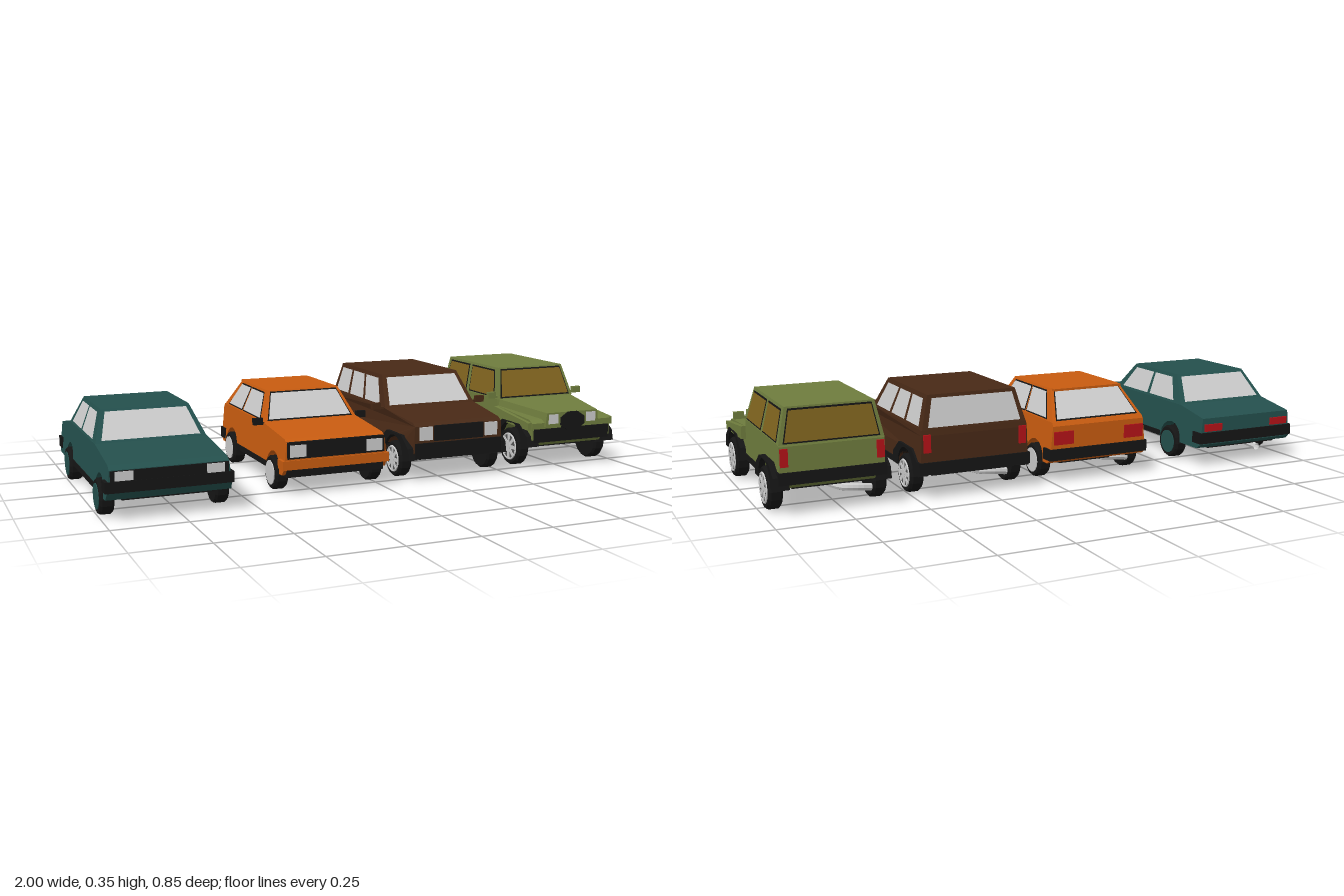
import * as THREE from 'three';

const BLACK = 0x151515, GREY = 0xcccccc, RED = 0xb51218;
const mats = {};
const mat = (c) => (mats[c] ??= new THREE.MeshStandardMaterial({ color: c, flatShading: true, side: THREE.DoubleSide }));

function add(group, name, geo, color) {
  const m = new THREE.Mesh(geo, mat(color));
  m.name = name;
  group.add(m);
}
function box(group, name, color, w, h, d, x, y, z) {
  add(group, name, new THREE.BoxGeometry(w, h, d).translate(x, y, z), color);
}
function pair(group, name, color, w, h, d, x, y, z) {
  for (const s of [1, -1]) box(group, (s > 0 ? 'left ' : 'right ') + name, color, w, h, d, s * x, y, z);
}

// Side outline in (z, y) extruded across x, narrowed towards the top and the nose
function sideExtrude(points, x0, x1, lean = 0, noseTaper = 1) {
  const shape = new THREE.Shape(points.map(([z, y]) => new THREE.Vector2(z, y)));
  const geo = new THREE.ExtrudeGeometry(shape, { depth: x1 - x0, bevelEnabled: false });
  geo.rotateY(-Math.PI / 2).translate(x1, 0, 0);
  const p = geo.attributes.position;
  for (let i = 0; i < p.count; i++) {
    const nose = p.getZ(i) > 0.28 ? noseTaper : 1;
    p.setX(i, p.getX(i) * (1 - lean * (p.getY(i) - 0.1)) * nose);
  }
  geo.computeVertexNormals();
  return geo;
}

// Wheel opening, from back to front
const arch = (z, y, r) => Array.from({ length: 9 }, (_, i) => {
  const a = Math.PI * (1 - i / 8);
  return [z + r * Math.cos(a), y + r * Math.sin(a)];
});

// Flat panel on part of a four-cornered face, lifted off it
function pane([a, b, c, d], u0, u1, v0, v1, lift) {
  const n = b.clone().sub(a).cross(d.clone().sub(a)).normalize().multiplyScalar(lift);
  const at = (u, v) => a.clone().lerp(b, u).lerp(d.clone().lerp(c, u), v).add(n);
  const geo = new THREE.BufferGeometry().setFromPoints([at(u0, v0), at(u1, v0), at(u1, v1), at(u0, v1)]);
  geo.setIndex([0, 1, 2, 0, 2, 3]);
  geo.computeVertexNormals();
  return geo;
}

// Cabin: four sloping walls, a roof, and windows laid onto the walls
function addCabin(g, car) {
  const ring = (w, y, front, rear) => [[-w, front], [w, front], [w, rear], [-w, rear]].map(([x, z]) => new THREE.Vector3(x, y, z));
  const low = ring(car.beltWidth, car.belt - 0.001, car.cowl, car.deck);
  const top = ring(car.roofWidth, car.height, car.roofFront, car.roofRear);
  add(g, 'roof', pane(top, 0, 1, 0, 1, 0), car.color);
  ['front', 'left', 'back', 'right'].forEach((name, i) => {
    const j = (i + 1) % 4, face = [low[i], low[j], top[j], top[i]], isSide = i % 2 === 1;
    add(g, name + ' cabin wall', pane(face, 0, 1, 0, 1, 0), car.color);
    for (const [p, q] of isSide ? car.windows : [[0.05, 0.95]]) {
      const [u0, u1] = name === 'right' ? [1 - q, 1 - p] : [p, q];
      const [v0, v1] = isSide ? [0.08, 0.87] : [0.07, 0.9];
      if (car.frames) add(g, name + ' window frame', pane(face, u0 - 0.012, u1 + 0.012, v0 - 0.04, v1 + 0.05, 0.0015), BLACK);
      add(g, name + ' window', pane(face, u0, u1, v0, v1, 0.003), car.glass ?? GREY);
    }
  });
}

// Wheel with a plain or spoked rim on its outer face
function addWheel(g, car, s, z, name) {
  const w = new THREE.Group(), r = car.r, t = 0.046, rim = r * 0.68;
  w.name = name;
  w.position.set(s * (car.track - t / 2), r, z);
  w.rotation.y = s > 0 ? 0 : Math.PI;
  const disc = (rad, depth) => new THREE.CylinderGeometry(rad, rad, depth, 16).rotateZ(Math.PI / 2).translate(t / 2, 0, 0);
  const tyre = [[0, -0.5], [0.9, -0.5], [1, -0.33], [1, 0.33], [0.9, 0.5], [0, 0.5]];
  add(w, 'tyre', new THREE.LatheGeometry(tyre.map(([a, b]) => new THREE.Vector2(a * r, b * t)), 16).rotateZ(-Math.PI / 2), BLACK);
  if (car.spokes) {
    add(w, 'rim ring', new THREE.TorusGeometry(rim, 0.004, 6, 20).rotateY(Math.PI / 2).translate(t / 2, 0, 0), GREY);
    add(w, 'rim back', disc(rim, 0.002), 0x555555);
    add(w, 'hub', disc(rim * 0.28, 0.008), GREY);
    for (let i = 0; i < 8; i++) {
      const spoke = new THREE.BoxGeometry(0.006, rim, 0.013).translate(t / 2, rim / 2, 0);
      add(w, 'spoke', spoke.rotateX((i * Math.PI) / 4), GREY);
    }
  } else add(w, 'rim', disc(rim * 1.05, 0.006), car.rim ?? GREY);
  g.add(w);
}

function buildCar(name, car) {
  const g = new THREE.Group();
  g.name = name;
  g.position.x = car.x;
  const { hw, yb, r, zf, zr, color, nose, tail, belt } = car;
  const R = r + 0.008;
  // Body shell with open wheel arches, over a black floor
  const outline = [
    [nose - 0.02, yb], [nose, yb + 0.025], [nose, car.noseY], [nose - 0.02, car.noseY + 0.012],
    [car.cowl, car.cowlY ?? belt], [car.cowl - 0.005, belt], [car.deck, belt], [tail, car.tailY], [tail, yb + 0.015], [tail + 0.02, yb],
    ...arch(zr, yb, R), ...arch(zf, yb, R),
  ];
  add(g, 'body', sideExtrude(outline, -hw, hw, car.lean, car.noseTaper), color);
  box(g, 'floor', BLACK, hw * 1.5, 0.085, nose - tail - 0.05, 0, yb + 0.037, (nose + tail) / 2);
  box(g, 'sills', BLACK, hw * 2 + 0.008, 0.02, zf - zr - 2 * R, 0, yb + 0.01, (zf + zr) / 2);
  addCabin(g, car);
  // Bumpers, grille and lights
  const [bw, bh, by] = car.bumper, [gw, gh, gy] = car.grille;
  box(g, 'front bumper', car.bumperColor ?? BLACK, bw, bh, 0.05, 0, by, nose - 0.02);
  box(g, 'rear bumper', BLACK, 2 * hw + 0.01, 0.04, 0.05, 0, by - 0.005, tail + 0.02);
  box(g, 'grille', BLACK, gw, gh, 0.01, 0, gy, nose - 0.001);
  const [hx, hy, hW, hH] = car.headlight, [tx, ty, tW, tH] = car.tailLight;
  pair(g, 'headlight', GREY, hW, hH, 0.012, hx, hy, nose);
  pair(g, 'tail light', RED, tW, tH, 0.012, tx, ty, tail);
  // Door mirrors on short arms
  if (car.mirror) {
    const [mx, my, mz] = car.mirror, c = car.mirrorColor ?? color;
    pair(g, 'mirror', c, 0.035, 0.024, 0.016, mx - 0.0175, my, mz);
    pair(g, 'mirror arm', c, 0.06, 0.008, 0.01, mx - 0.055, my - 0.008, mz);
  }
  for (const s of [1, -1]) {
    const side = s > 0 ? 'left ' : 'right ';
    for (const [end, z] of [['front ', zf], ['rear ', zr]]) {
      addWheel(g, car, s, z, side + end + 'wheel');
      // Angular wheel arch flares
      if (!car.flare) continue;
      const top = yb + car.flare, mid = yb + car.flare * 0.5, x = car.track - 0.003;
      const pts = [[z + 0.125, yb], [z + 0.115, mid], [z + 0.06, top], [z - 0.06, top], [z - 0.115, mid], [z - 0.125, yb], ...arch(z, yb, R)];
      add(g, side + end + 'flare', s > 0 ? sideExtrude(pts, hw - 0.03, x) : sideExtrude(pts, -x, 0.03 - hw), BLACK);
    }
  }
  // Exhaust, bent to one side or straight back
  const bend = car.straightPipe
    ? [[-0.06, 0.065, -0.25], [-0.062, 0.05, -0.41]]
    : [[-0.01, 0.07, -0.29], [-0.04, 0.065, -0.34], [-0.09, 0.062, -0.355], [-0.135, 0.055, -0.35]];
  const curve = new THREE.CatmullRomCurve3(bend.map((p) => new THREE.Vector3(...p)));
  add(g, 'exhaust', new THREE.TubeGeometry(curve, 10, 0.013, 8), GREY);
  return g;
}

const tealSaloon = () => buildCar('teal saloon', {
  x: -0.787, color: 0x24504d, rim: 0x24504d, straightPipe: true,
  hw: 0.2, track: 0.211, yb: 0.068, r: 0.06, zf: 0.3, zr: -0.225, lean: 0.55,
  nose: 0.42, tail: -0.42, noseY: 0.166, tailY: 0.18, belt: 0.206, cowl: 0.19, deck: -0.27,
  beltWidth: 0.187, roofWidth: 0.15, height: 0.306, roofFront: 0.105, roofRear: -0.185, windows: [[0.09, 0.49], [0.53, 0.9]],
  bumper: [0.416, 0.036, 0.112], grille: [0.38, 0.034, 0.147], headlight: [0.147, 0.147, 0.058, 0.03], tailLight: [0.147, 0.145, 0.075, 0.026],
});

function orangeHatchback() {
  const color = 0xc85c10;
  const g = buildCar('orange hatchback', {
    x: -0.178, color, bumperColor: color, mirrorColor: BLACK, frames: true,
    hw: 0.19, track: 0.2, yb: 0.068, r: 0.06, zf: 0.2, zr: -0.265, lean: 0.5,
    nose: 0.315, tail: -0.387, noseY: 0.18, tailY: 0.2, belt: 0.213, cowl: 0.075, deck: -0.377,
    beltWidth: 0.178, roofWidth: 0.137, height: 0.314, roofFront: 0, roofRear: -0.285, windows: [[0.09, 0.52], [0.56, 0.9]],
    bumper: [0.396, 0.032, 0.105], grille: [0.36, 0.058, 0.155], headlight: [0.142, 0.153, 0.06, 0.042], tailLight: [0.14, 0.158, 0.075, 0.046],
    mirror: [0.217, 0.217, 0.07],
  });
  box(g, 'front skirt', BLACK, 0.36, 0.03, 0.04, 0, 0.076, 0.29);
  box(g, 'roof spoiler', color, 0.27, 0.008, 0.03, 0, 0.31, -0.29);
  return g;
}

const brownEstate = () => buildCar('brown estate', {
  x: 0.3, color: 0x482916, spokes: true,
  hw: 0.195, track: 0.203, yb: 0.08, r: 0.066, zf: 0.19, zr: -0.268, lean: 0.25, noseTaper: 0.92, flare: 0.082,
  nose: 0.312, tail: -0.4, noseY: 0.2, tailY: 0.215, belt: 0.234, cowl: 0.09, deck: -0.397,
  beltWidth: 0.187, roofWidth: 0.158, height: 0.346, roofFront: 0, roofRear: -0.372, windows: [[0.08, 0.36], [0.4, 0.66], [0.7, 0.94]],
  bumper: [0.35, 0.056, 0.112], grille: [0.2, 0.056, 0.173], headlight: [0.132, 0.174, 0.05, 0.048], tailLight: [0.172, 0.19, 0.025, 0.06],
  mirror: [0.236, 0.242, 0.075],
});

function greenOffRoader() {
  const color = 0x6f7d3e;
  const g = buildCar('green off-roader', {
    x: 0.784, color, glass: 0x80641f, spokes: true, frames: true,
    hw: 0.172, track: 0.195, yb: 0.088, r: 0.071, zf: 0.188, zr: -0.27, flare: 0.078,
    nose: 0.31, tail: -0.39, noseY: 0.175, tailY: 0.225, belt: 0.23, cowl: 0.06, cowlY: 0.205, deck: -0.388,
    beltWidth: 0.172, roofWidth: 0.146, height: 0.347, roofFront: 0.014, roofRear: -0.373, windows: [[0.06, 0.49], [0.56, 0.94]],
    bumper: [0.33, 0.05, 0.128], grille: [0.09, 0.06, 0.178], headlight: [0.083, 0.188, 0.042, 0.036], tailLight: [0.157, 0.19, 0.025, 0.058],
    mirror: [0.213, 0.247, 0.05],
  });
  // Bonnet: narrows and drops towards the nose
  const hood = new THREE.BoxGeometry(2, 1, 0.255).translate(0, 0, 0.1875);
  const p = hood.attributes.position;
  for (let i = 0; i < p.count; i++) {
    const atNose = p.getZ(i) > 0.2, top = p.getY(i) > 0;
    p.setX(i, p.getX(i) * (atNose ? 0.115 : 0.168) * (top ? 0.97 : 1.03));
    p.setY(i, top ? (atNose ? 0.212 : 0.23) : 0.16);
  }
  hood.computeVertexNormals();
  add(g, 'bonnet', hood, color);
  // Fender tops beside the bonnet
  const fender = [[0.305, 0.15], [0.305, 0.178], [0.06, 0.205], [0.06, 0.16]];
  add(g, 'left fender', sideExtrude(fender, 0.12, 0.188), color);
  add(g, 'right fender', sideExtrude(fender, -0.188, -0.12), color);
  // Eight-sided grille surround
  const oct = new THREE.CylinderGeometry(0.057, 0.057, 0.008, 8).rotateY(Math.PI / 8).rotateX(Math.PI / 2);
  add(g, 'grille surround', oct.scale(1, 0.65, 1).translate(0, 0.178, 0.315), BLACK);
  return g;
}

export function createModel() {
  const group = new THREE.Group();
  group.name = 'four parked cars';
  group.add(tealSaloon(), orangeHatchback(), brownEstate(), greenOffRoader());
  return group;
}
